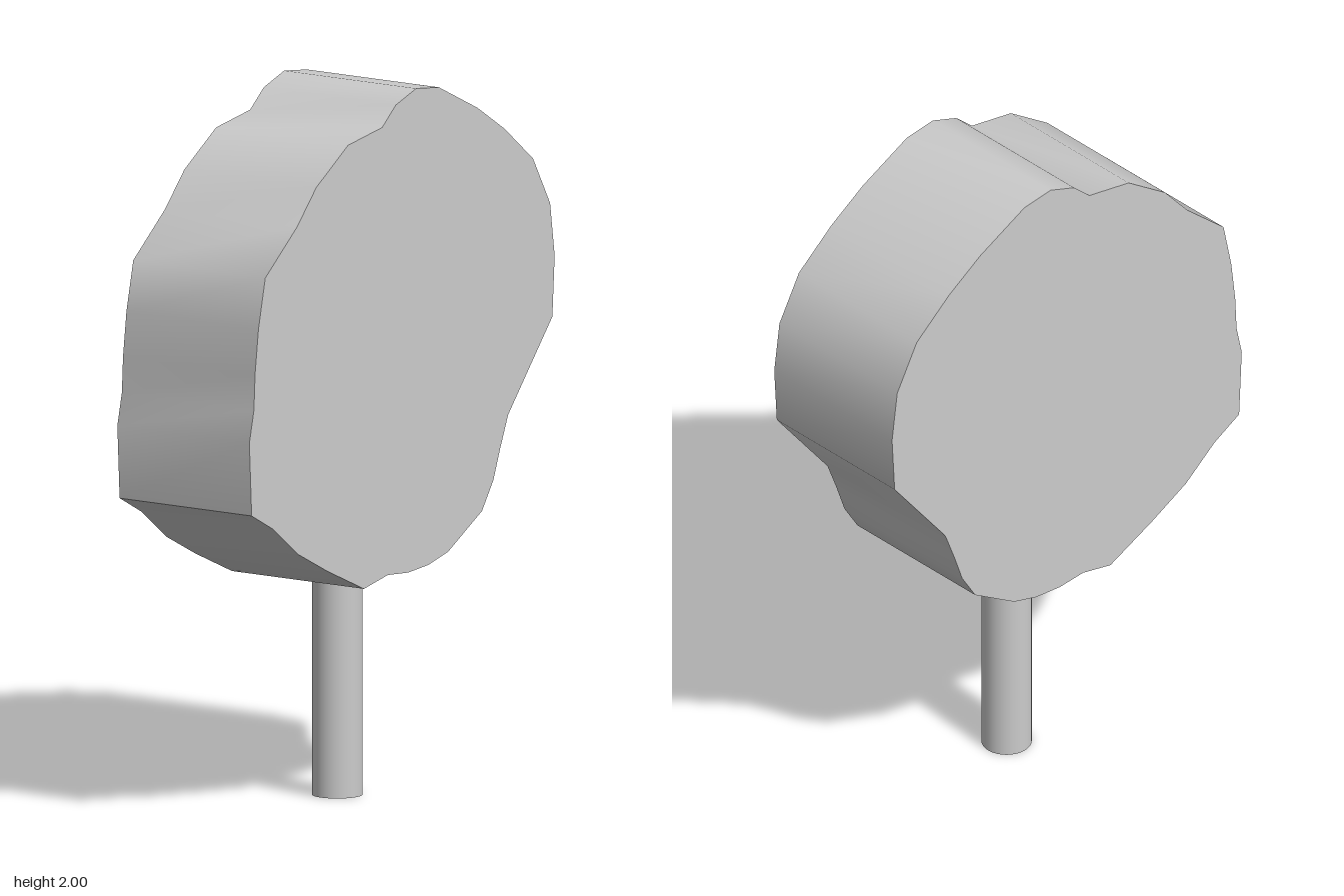
import * as THREE from 'three';
import { toCreasedNormals } from 'three/addons/utils/BufferGeometryUtils.js';

const DEPTH = 0.47;
const TRUNK_RADIUS = 0.07;

// Crown silhouette, clockwise from the top
const OUTLINE = [
  [0.06, 2.0], [0.16, 1.99], [0.33, 1.91], [0.45, 1.835], [0.575, 1.735], [0.65, 1.6],
  [0.67, 1.45], [0.66, 1.28], [0.465, 1.03], [0.43, 0.94], [0.4, 0.855], [0.35, 0.775],
  [0.2, 0.68], [0.115, 0.655], [0.025, 0.645], [-0.065, 0.65], [-0.17, 0.625],
  [-0.33, 0.695], [-0.46, 0.76], [-0.57, 0.845], [-0.665, 0.895], [-0.675, 1.1],
  [-0.655, 1.19], [-0.65, 1.29], [-0.635, 1.415], [-0.605, 1.555], [-0.465, 1.68],
  [-0.38, 1.78], [-0.24, 1.88], [-0.09, 1.91], [-0.03, 1.965],
];

export function createModel() {
  const model = new THREE.Group();
  model.name = 'tree';
  const material = new THREE.MeshStandardMaterial({ color: 0xcccccc });

  // Crown: irregular slab with softly shaded rim and flat faces
  const shape = new THREE.Shape(OUTLINE.map(([x, y]) => new THREE.Vector2(x, y)));
  const slab = new THREE.ExtrudeGeometry(shape, { depth: DEPTH, bevelEnabled: false });
  slab.translate(0, 0, -DEPTH / 2);
  const crown = new THREE.Mesh(toCreasedNormals(slab, 0.7), material);
  crown.name = 'crown';
  model.add(crown);

  // Trunk: round post ending just inside the crown
  const height = 0.68;
  const trunk = new THREE.Mesh(
    new THREE.CylinderGeometry(TRUNK_RADIUS, TRUNK_RADIUS, height, 32), material);
  trunk.position.set(0.003, height / 2, 0);
  trunk.name = 'trunk';
  model.add(trunk);

  return model;
}
